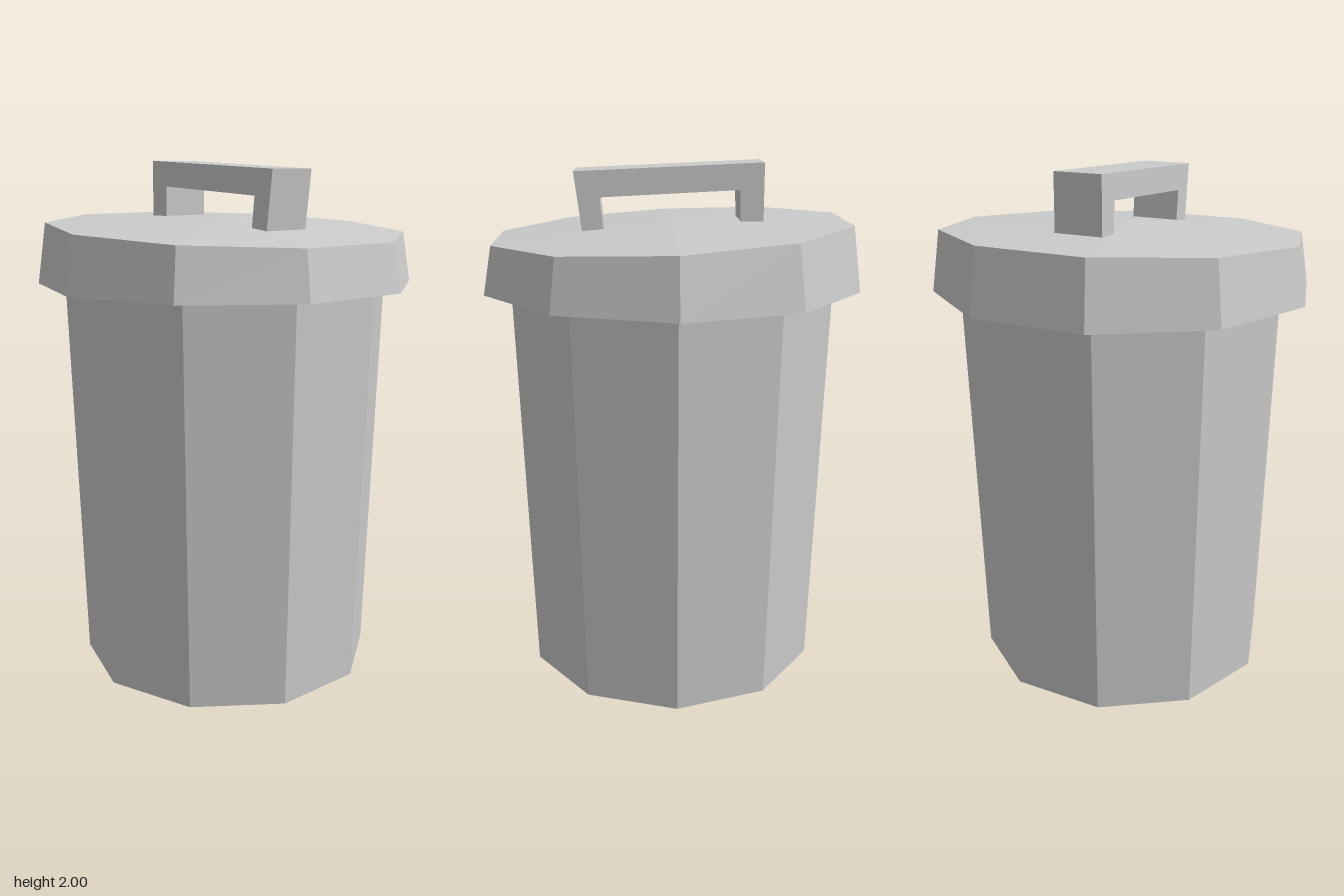
import * as THREE from 'three';

const SIDES = 10;
const material = new THREE.MeshStandardMaterial({ color: 0xcccccc, flatShading: true });

function addPart(group, name, geometry) {
  const mesh = new THREE.Mesh(geometry, material);
  mesh.name = name;
  group.add(mesh);
}

// Ten-sided tapered drum standing on y = bottom, with a corner on the x axis
function drum(rTop, rBottom, bottom, top) {
  const g = new THREE.CylinderGeometry(rTop, rBottom, top - bottom, SIDES, 1, false, Math.PI / 2);
  return g.translate(0, (top + bottom) / 2, 0);
}

// Lid: flat lower edge, upper rim sloping down to the front, slightly raised centre
function lidGeometry() {
  const bottom = 1.535, rim = 1.748, peak = 1.787, slope = -0.049;
  const g = drum(0.7, 0.733, bottom, rim);
  const p = g.attributes.position;
  for (let i = 0; i < p.count; i++) {
    if (p.getY(i) < bottom + 0.1) continue;
    const isCentre = Math.hypot(p.getX(i), p.getZ(i)) < 0.01;
    p.setY(i, isCentre ? peak : rim + slope * p.getZ(i));
  }
  g.computeVertexNormals();
  return g;
}

// Handle: slightly tilted bracket, outlined as (z, y) and extruded across x
function handleGeometry() {
  const outline = [
    [0.335, 1.735], [0.365, 1.97], [-0.345, 2.0], [-0.345, 1.76],
    [-0.26, 1.76], [-0.255, 1.9], [0.27, 1.875], [0.255, 1.74],
  ];
  const shape = new THREE.Shape(outline.map(([z, y]) => new THREE.Vector2(-z, y)));
  const width = 0.194;
  const g = new THREE.ExtrudeGeometry(shape, { depth: width, bevelEnabled: false });
  return g.translate(0, 0, -width / 2).rotateY(Math.PI / 2);
}

export function createModel() {
  const bin = new THREE.Group();
  bin.name = 'trashCan';
  addPart(bin, 'body', drum(0.63, 0.583, 0, 1.54));
  addPart(bin, 'lid', lidGeometry());
  addPart(bin, 'lidHandle', handleGeometry());
  return bin;
}
